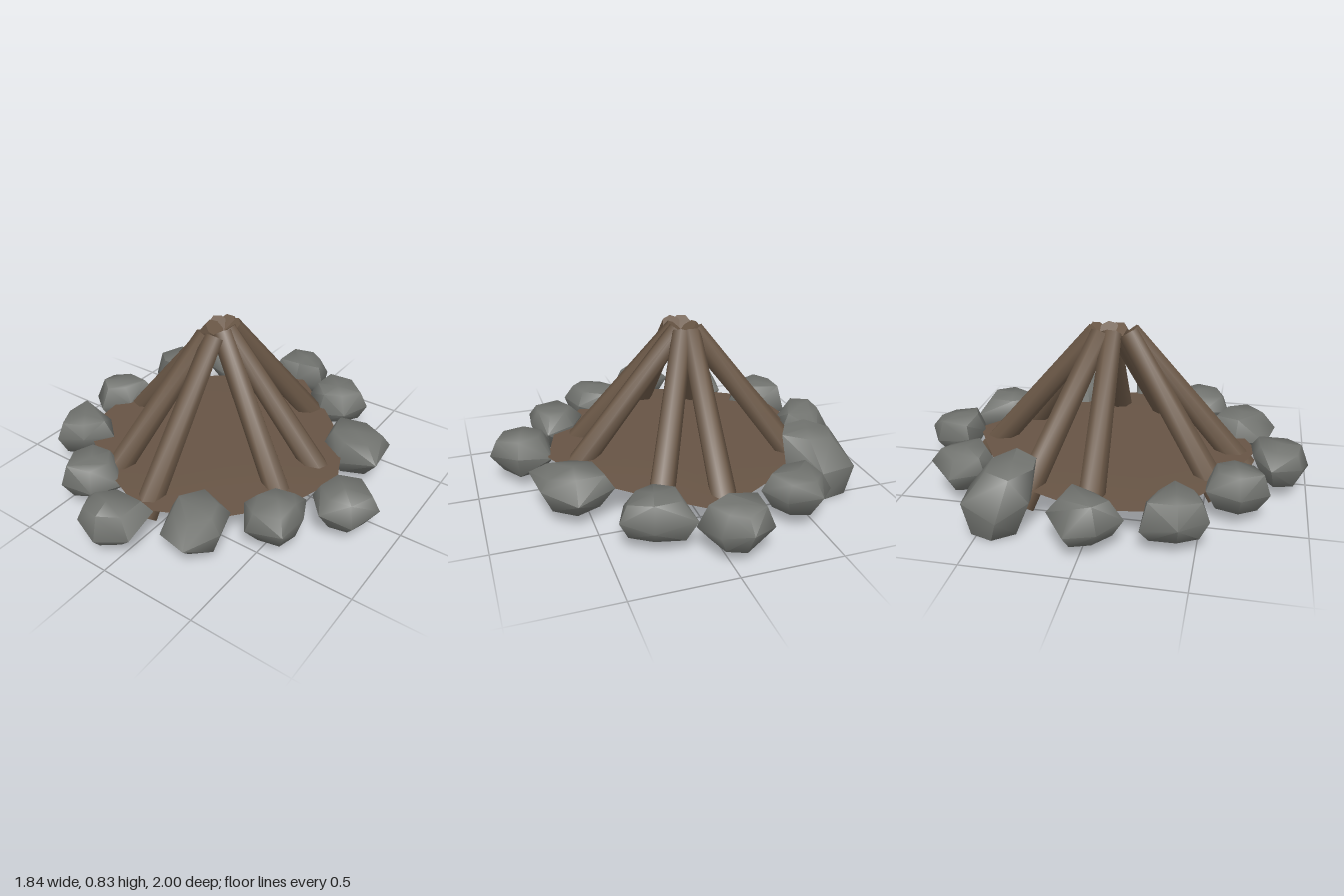
import * as THREE from 'three';
import { toCreasedNormals } from 'three/addons/utils/BufferGeometryUtils.js';
import { ConvexGeometry } from 'three/addons/geometries/ConvexGeometry.js';

const stoneMat = new THREE.MeshStandardMaterial({ color: 0x71736f });
stoneMat.name = 'stone grey';
const woodMat = new THREE.MeshStandardMaterial({ color: 0x6a5746 });
woodMat.name = 'bark brown';
const soilMat = new THREE.MeshStandardMaterial({ color: 0x675445, side: THREE.DoubleSide });
soilMat.name = 'soil brown';

// Each stone: centre x, centre z, turn in degrees, then its six corner radii
const STONES = [
  [-.045, -.85, 25, .183, .142, .193, .163, .15, .135],
  [-.42, -.665, 12, .17, .15, .18, .165, .172, .14],
  [-.67, -.41, -10, .2, .16, .165, .175, .19, .18],
  [-.785, .015, 25, .14, .175, .137, .155, .172, .2],
  [-.68, .405, -10, .18, .14, .165, .155, .19, .15],
  [-.385, .655, 50, .14, .17, .157, .175, .165, .165],
  [-.09, .86, -45, .21, .168, .145, .14, .172, .14],
  [.265, .655, 10, .16, .19, .17, .172, .19, .165],
  [.54, .395, 50, .177, .187, .168, .14, .175, .13],
  [.75, .145, -15, .175, .15, .165, .15, .19, .165],
  [.57, -.305, 35, .235, .155, .16, .21, .185, .185],
  [.28, -.65, 45, .155, .15, .155, .225, .16, .177],
];
const LARGE_STONE = 2; // the taller stone leaning towards the fire

// Each log: bottom x, bottom z, top x, top z
const LOGS = [
  [-.07, -.67, -.09, -.08], [.22, -.54, -.05, -.07], [.54, -.06, -.045, -.02], [.48, .24, -.045, .02],
  [-.025, .685, -.05, .085], [-.35, .58, -.095, .085], [-.67, .01, -.105, 0], [-.62, -.33, -.115, -.05],
];

// Soil rim radius at twelve even steps, from +x towards +z
const SOIL_RADII = [.65, .64, .67, .74, .69, .78, .73, .68, .65, .75, .59, .6];

// Repeatable random numbers
function seeded(seed) {
  return () => (seed = (seed * 16807) % 2147483647) / 2147483647;
}

// Convex boulder: six wide corners in the middle, smaller rings above and below
function makeStone([cx, cz, turn, ...radii], index, rand) {
  const large = index === LARGE_STONE;
  const bottom = large ? 0 : 0.07;
  const top = large ? 0.32 : 0.27;
  const lean = large ? 0.05 : 0;
  const points = [];
  radii.forEach((radius, i) => {
    const a = THREE.MathUtils.degToRad(turn + i * 60);
    const addPoint = (scale, y, shift) => points.push(new THREE.Vector3(
      radius * scale * Math.cos(a) + shift, y, radius * scale * Math.sin(a) + shift));
    addPoint(1, (large ? 0.15 : 0.17) + (rand() - 0.5) * 0.07, 0);
    addPoint(0.55 + rand() * 0.25, top - rand() * 0.025, lean);
    addPoint(0.55 + rand() * 0.2, bottom + rand() * 0.015, -lean / 2);
  });
  points.push(new THREE.Vector3(lean, top, lean), new THREE.Vector3(0, bottom, 0));
  const mesh = new THREE.Mesh(toCreasedNormals(new ConvexGeometry(points), 1.1), stoneMat);
  mesh.position.set(cx, 0, cz);
  mesh.name = 'stone' + (index + 1);
  return mesh;
}

// Tapered log standing between two points
function makeLog([bx, bz, tx, tz], index) {
  const a = new THREE.Vector3(bx, 0.09, bz);
  const b = new THREE.Vector3(tx, 0.792, tz);
  const dir = b.clone().sub(a);
  const geo = toCreasedNormals(new THREE.CylinderGeometry(0.052, 0.065, dir.length(), 7), 1);
  const mesh = new THREE.Mesh(geo, woodMat);
  mesh.position.copy(a).add(b).multiplyScalar(0.5);
  mesh.quaternion.setFromUnitVectors(new THREE.Vector3(0, 1, 0), dir.normalize());
  mesh.name = 'log' + (index + 1);
  return mesh;
}

// Gently mounded soil: a fan from the centre to the irregular rim
function makeSoil() {
  const count = SOIL_RADII.length;
  const positions = [0, 0.205, 0];
  const index = [];
  SOIL_RADII.forEach((r, i) => {
    const a = i / count * Math.PI * 2;
    positions.push(r * Math.cos(a) - 0.01, 0.178, r * Math.sin(a));
    index.push(0, 1 + (i + 1) % count, 1 + i);
  });
  const geo = new THREE.BufferGeometry();
  geo.setAttribute('position', new THREE.Float32BufferAttribute(positions, 3));
  geo.setIndex(index);
  geo.computeVertexNormals();
  const mesh = new THREE.Mesh(geo, soilMat);
  mesh.name = 'soilPatch';
  return mesh;
}

export function createModel() {
  const model = new THREE.Group();
  model.name = 'campfire';
  const rand = seeded(4711);

  const stoneRing = new THREE.Group();
  stoneRing.name = 'stoneRing';
  STONES.forEach((stone, i) => stoneRing.add(makeStone(stone, i, rand)));

  const logPile = new THREE.Group();
  logPile.name = 'logPile';
  LOGS.forEach((log, i) => logPile.add(makeLog(log, i)));

  model.add(stoneRing, logPile, makeSoil());
  return model;
}
